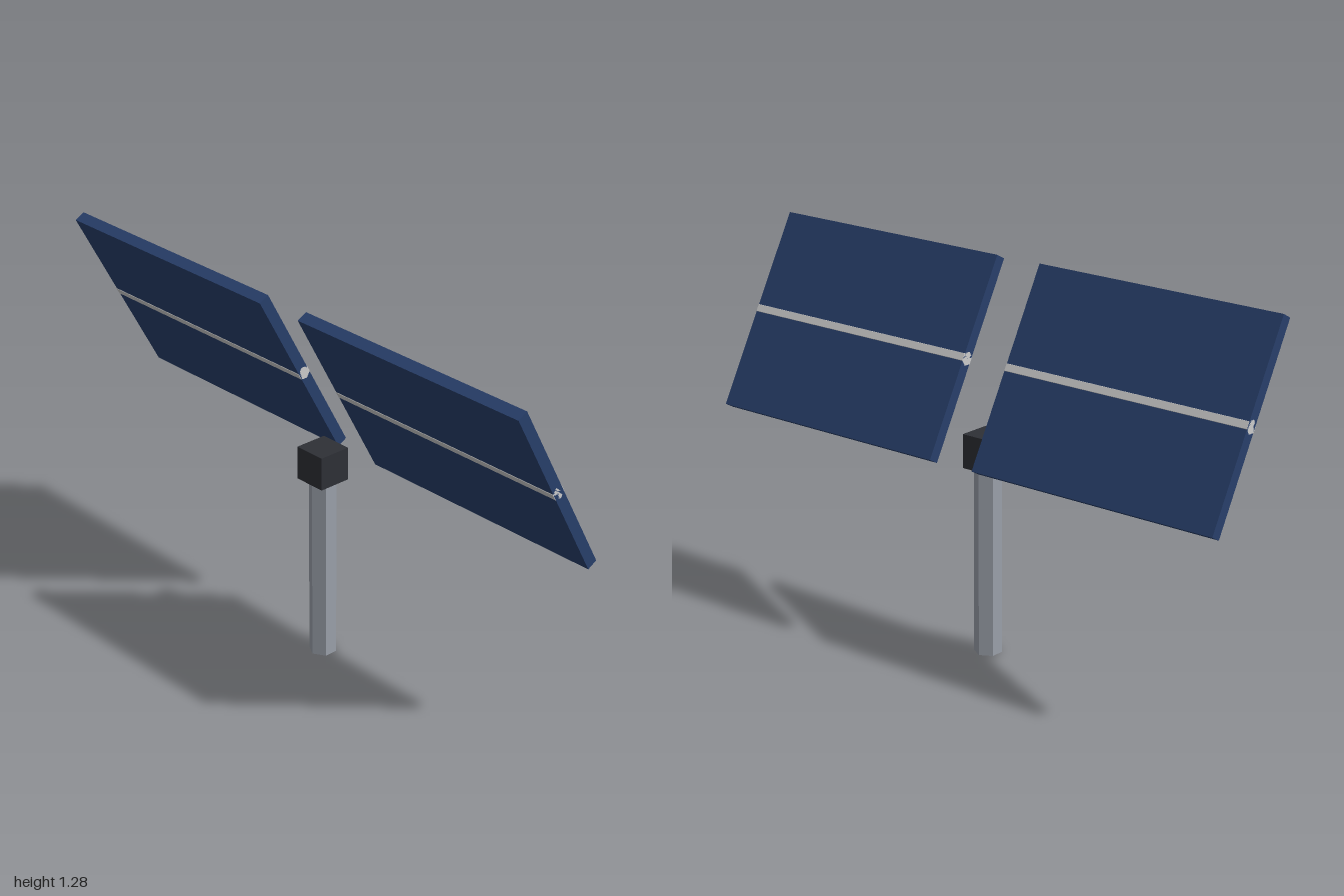
import * as THREE from 'three';

const material = (color) => new THREE.MeshStandardMaterial({ color, flatShading: true });

export function createModel() {
  const model = new THREE.Group();
  model.name = 'solarPanelStand';

  const add = (name, geometry, mat, x, y, z = 0) => {
    const mesh = new THREE.Mesh(geometry, mat);
    mesh.name = name;
    mesh.position.set(x, y, z);
    model.add(mesh);
    return mesh;
  };

  const steel = material(0x9aa0aa);
  const dark = material(0x2e3036);
  const blue = material(0x283f6b);
  const grey = material(0xcccccc);

  // Six-sided post and the motor block on its top
  add('post', new THREE.CylinderGeometry(0.046, 0.046, 0.64, 6), steel, 0, 0.32);
  add('motorBlock', new THREE.BoxGeometry(0.113, 0.113, 0.113), dark, 0, 0.687);

  // Tilted panels, each with a six-sided rod through its middle
  const width = 0.914;
  const panelGeometry = new THREE.BoxGeometry(width, 0.683, 0.038);
  const rodGeometry = new THREE.CylinderGeometry(0.0235, 0.0235, width, 6).rotateZ(Math.PI / 2);
  for (const [side, sign] of [['left', 1], ['right', -1]]) {
    const x = sign * (1 - width / 2);
    add(side + 'Panel', panelGeometry, blue, x, 0.973).rotation.x = 0.5;
    add(side + 'Rod', rodGeometry, grey, x, 0.973);
  }

  return model;
}
